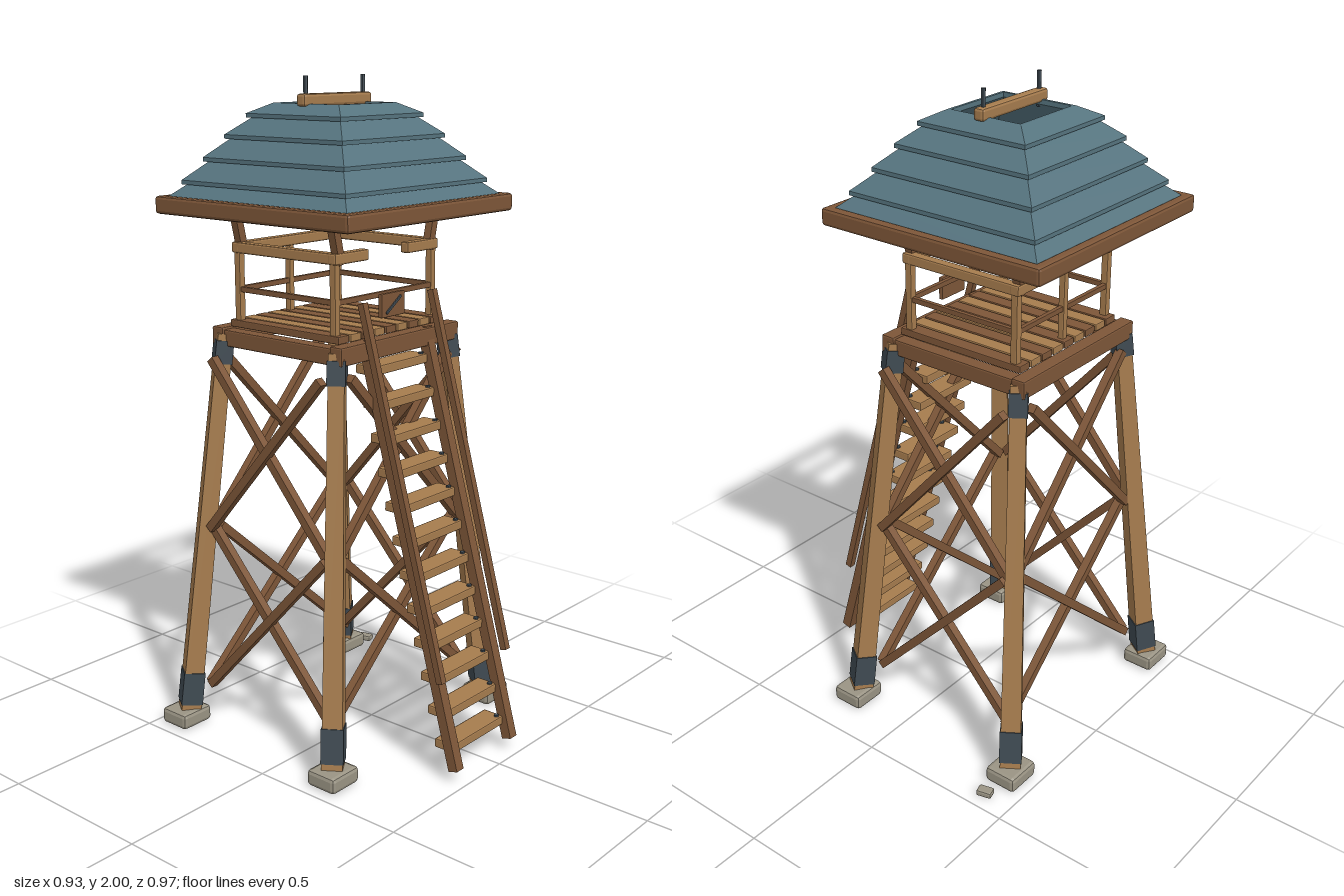
import * as THREE from 'three';
import { RoundedBoxGeometry } from 'three/addons/geometries/RoundedBoxGeometry.js';

const makeMat = (name, color) => {
  const m = new THREE.MeshStandardMaterial({ color });
  m.name = name;
  return m;
};

// separate faces so every facet is shaded flat
const flat = (g) => {
  const f = g.toNonIndexed();
  f.computeVertexNormals();
  return f;
};

export function createModel() {
  const lightWood = makeMat('light wood', 0xa67c4e);
  const darkWood = makeMat('dark wood', 0x7d5638);
  const slate = makeMat('blue roof', 0x56747f);
  const metal = makeMat('dark metal', 0x3f4a52);
  const stone = makeMat('stone', 0x9a9484);

  const model = new THREE.Group();
  const tower = new THREE.Group();
  tower.name = 'tower';
  tower.position.set(-0.035, 0, -0.11);
  model.add(tower);

  const add = (parent, name, geo, mat, x = 0, y = 0, z = 0) => {
    const m = new THREE.Mesh(geo, mat);
    m.name = name;
    m.position.set(x, y, z);
    parent.add(m);
    return m;
  };
  const block = (parent, name, mat, w, h, d, x, y, z, r = 0.005) =>
    add(parent, name, flat(new RoundedBoxGeometry(w, h, d, 1, r)), mat, x, y, z);

  // square timber from a to b, side s0 at a and s1 at b
  const beam = (parent, name, mat, a, b, s0, s1 = s0) => {
    const from = new THREE.Vector3(...a), to = new THREE.Vector3(...b);
    const geo = new THREE.CylinderGeometry(s1 * Math.SQRT1_2, s0 * Math.SQRT1_2,
      from.distanceTo(to), 4, 1, false, Math.PI / 4);
    geo.rotateX(Math.PI / 2);
    const m = new THREE.Mesh(flat(geo), mat);
    m.name = name;
    m.position.copy(from).lerp(to, 0.5);
    m.lookAt(to);
    parent.add(m);
    return m;
  };

  // legs with footing stones and metal collars
  for (const sx of [-1, 1]) for (const sz of [-1, 1]) {
    const at = (y) => {
      const t = (y - 0.08) / 1.17;
      return [sx * (0.365 - 0.115 * t), y, sz * (0.302 - 0.077 * t)];
    };
    block(tower, 'footing', stone, 0.115, 0.05, 0.105, sx * 0.376, 0.03, sz * 0.31, 0.012);
    beam(tower, 'leg', lightWood, at(0.05), at(1.25), 0.062, 0.046);
    beam(tower, 'lowerCollar', metal, at(0.07), at(0.175), 0.067, 0.066);
    beam(tower, 'upperCollar', metal, at(1.16), at(1.23), 0.054, 0.053);
  }

  // two stacked cross braces on each of the four sides
  const levels = [0.13, 0.65, 1.18];
  const halfX = [0.315, 0.275, 0.235];
  const halfZ = [0.25, 0.235, 0.225];
  for (const s of [-1, 1]) for (const d of [-1, 1]) for (const i of [0, 1]) {
    const off = d * 0.008;
    beam(tower, 'sideBrace', darkWood, [s * 0.31 + off, levels[i], d * halfZ[i]],
      [s * 0.31 + off, levels[i + 1], -d * halfZ[i + 1]], 0.026);
    beam(tower, 'endBrace', darkWood, [d * halfX[i], levels[i], s * 0.25 + off],
      [-d * halfX[i + 1], levels[i + 1], s * 0.25 + off], 0.026);
  }

  // platform frame and planks
  for (const s of [-1, 1]) {
    block(tower, 'frontBackBeam', darkWood, 0.54, 0.055, 0.045, 0, 1.243, s * 0.235);
    block(tower, 'sideBeam', darkWood, 0.045, 0.05, 0.5, s * 0.24, 1.238, 0);
  }
  for (let i = 0; i < 9; i++) {
    block(tower, 'plank', i % 2 ? lightWood : darkWood, 0.046, 0.022, 0.43,
      (i - 4) * 0.0525, 1.28, 0, 0.003);
  }

  // railing posts and leaning roof struts
  for (const sx of [-1, 1]) for (const sz of [-1, 1]) {
    block(tower, 'railPost', lightWood, 0.022, 0.24, 0.022, sx * 0.217, 1.39, sz * 0.188, 0.003);
    beam(tower, 'roofStrut', darkWood, [sx * 0.2, 1.49, sz * 0.19], [sx * 0.235, 1.64, sz * 0.19], 0.025);
  }
  block(tower, 'backCentrePost', lightWood, 0.02, 0.23, 0.02, 0, 1.395, -0.19, 0.003);

  // rails, open at the front where the ladder arrives
  for (const s of [-1, 1]) {
    block(tower, 'sideTopRail', lightWood, 0.03, 0.032, 0.41, s * 0.217, 1.507, 0);
    block(tower, 'sideMidRail', darkWood, 0.014, 0.016, 0.39, s * 0.217, 1.383, 0, 0.002);
    block(tower, 'frontTopRail', lightWood, 0.145, 0.032, 0.03, s * 0.16, 1.507, 0.19);
    block(tower, 'midRail', darkWood, 0.45, 0.016, 0.014, 0, 1.383, s * 0.19, 0.002);
  }
  block(tower, 'backTopRail', lightWood, 0.465, 0.032, 0.03, 0, 1.507, -0.19);

  // small board on the front rail
  block(tower, 'signBoard', darkWood, 0.105, 0.07, 0.014, 0, 1.354, 0.215, 0.003);
  const slash = block(tower, 'signStripe', metal, 0.08, 0.008, 0.006, 0, 1.354, 0.223, 0.001);
  slash.rotation.z = 0.6;

  // eave frame
  for (const s of [-1, 1]) {
    block(tower, 'frontBackEave', darkWood, 0.75, 0.052, 0.034, 0, 1.631, s * 0.358, 0.009);
    block(tower, 'sideEave', darkWood, 0.034, 0.052, 0.75, s * 0.358, 1.631, 0, 0.009);
  }

  // stepped hollow roof: half-widths of each course, with an overhanging lip
  const courses = [[0.35, 1.64], [0.318, 1.69], [0.273, 1.755], [0.228, 1.82], [0.183, 1.88], [0.126, 1.922]];
  const profile = [[0.335, 1.635]];
  for (let i = 0; i < 5; i++) {
    const [w, y] = courses[i], [w2, y2] = courses[i + 1];
    profile.push([w, y], [w, y + 0.012], [i < 4 ? w2 - 0.012 : w2, y2]);
  }
  profile.push([0.117, 1.922], [0.117, 1.908], [0.335, 1.635]);
  const roof = new THREE.LatheGeometry(
    profile.map(([w, y]) => new THREE.Vector2(w * Math.SQRT2, y)), 4, Math.PI / 4);
  add(tower, 'roof', flat(roof), slate);

  // ridge bar and its two metal rods
  block(tower, 'ridgeBar', lightWood, 0.295, 0.036, 0.034, 0, 1.932, 0, 0.008);
  for (const s of [-1, 1]) {
    add(tower, 'ridgeRod', flat(new THREE.CylinderGeometry(0.007, 0.007, 0.1, 6)), metal, s * 0.125, 1.95, 0);
  }

  // ladder
  const ladder = new THREE.Group();
  ladder.name = 'ladder';
  ladder.position.x = -0.035;
  model.add(ladder);
  const ladderZ = (y) => 0.465 - 0.28 * (y - 0.04);
  for (const s of [-1, 1]) {
    beam(ladder, 'ladderRail', darkWood, [s * 0.135, 0.04, ladderZ(0.04)], [s * 0.135, 1.27, ladderZ(1.27)], 0.032);
    beam(ladder, 'handRail', darkWood, [s * 0.159, 0.31, 0.425], [s * 0.159, 1.38, 0.13], 0.021);
  }
  for (let i = 0; i < 12; i++) {
    const y = 0.095 + i * 0.0985, z = ladderZ(y);
    block(ladder, 'tread', lightWood, 0.25, 0.028, 0.07, 0, y, z - 0.037, 0.004);
    for (const s of [-1, 1]) {
      add(ladder, 'treadBolt', flat(new THREE.CylinderGeometry(0.008, 0.008, 0.006, 6)), metal,
        s * 0.108, y + 0.016, z - 0.016);
    }
  }

  // loose pebble beside the back footing
  const pebble = block(model, 'pebble', stone, 0.033, 0.02, 0.048, 0.445, 0.012, -0.405, 0.006);
  pebble.rotation.y = 0.25;

  return model;
}
